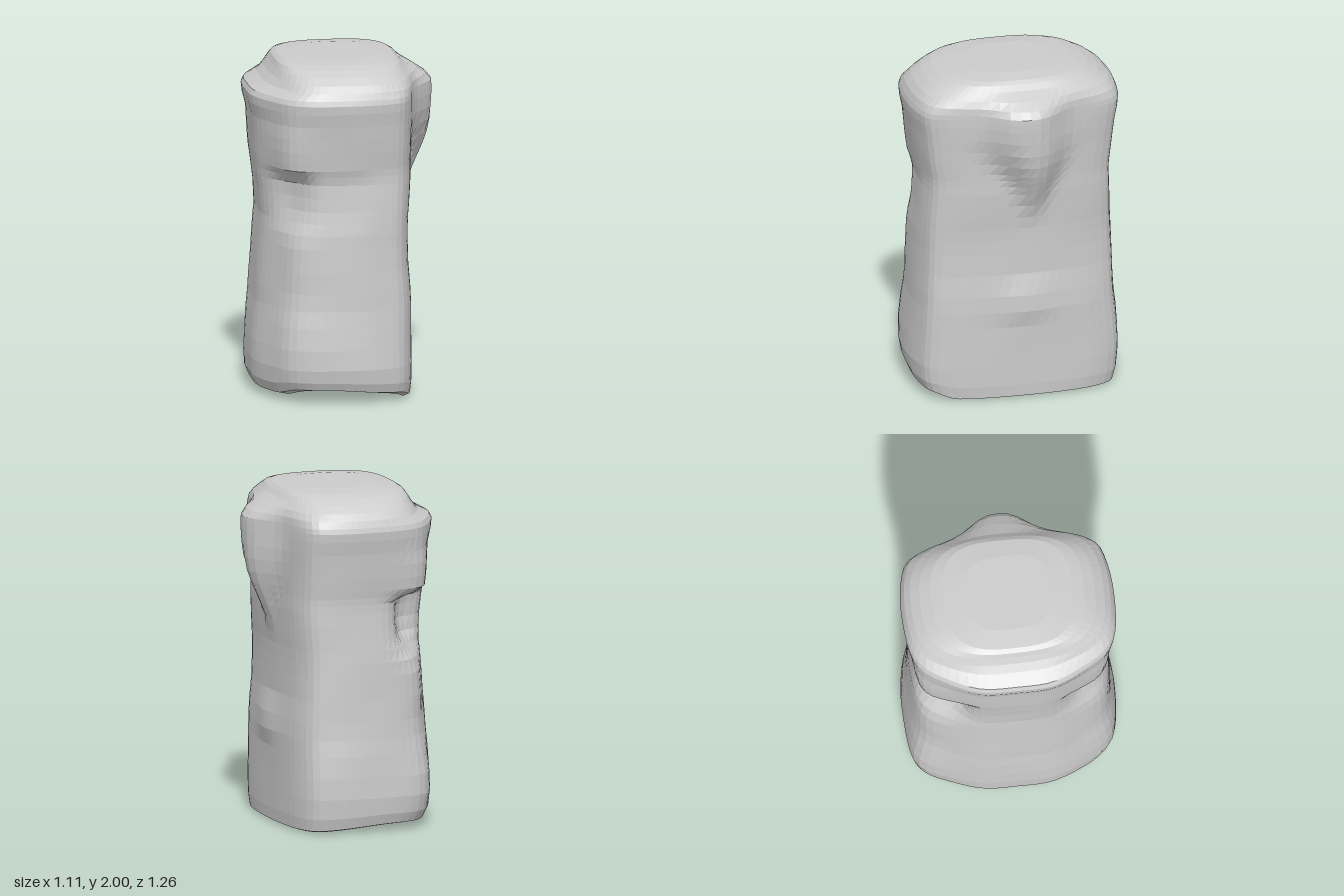
import * as THREE from 'three';

// Half outline of the plan (x, z), from the left side round the front to the right
const HALF = [[-1, 0], [-0.98, 0.34], [-0.83, 0.65], [-0.66, 0.87], [-0.46, 0.96], [0, 1],
  [0.5, 0.965], [0.77, 0.89], [0.91, 0.69], [0.98, 0.38], [1, 0]];

// Levels: y, reach to -x, reach to +x, reach in z
const LEVELS = [
  [0.04, 0, 0, 0], [0.04, 0.25, 0.2, 0.3], [0.03, 0.46, 0.37, 0.56], [0.04, 0.51, 0.4, 0.6],
  [0.1, 0.535, 0.405, 0.62], [0.2, 0.54, 0.405, 0.63], [0.32, 0.535, 0.405, 0.625], [0.45, 0.525, 0.405, 0.615],
  [0.55, 0.515, 0.405, 0.605], [0.65, 0.51, 0.4, 0.6], [0.78, 0.5, 0.39, 0.595], [0.92, 0.49, 0.388, 0.59],
  [1, 0.485, 0.388, 0.588], [1.07, 0.48, 0.39, 0.585], [1.14, 0.485, 0.395, 0.582], [1.22, 0.49, 0.4, 0.578],
  [1.3, 0.5, 0.405, 0.573], [1.35, 0.505, 0.405, 0.572], [1.39, 0.51, 0.405, 0.574], [1.43, 0.515, 0.405, 0.58],
  [1.5, 0.52, 0.405, 0.59], [1.58, 0.525, 0.405, 0.6], [1.66, 0.53, 0.408, 0.61], [1.74, 0.55, 0.41, 0.625],
  [1.79, 0.555, 0.41, 0.63], [1.82, 0.54, 0.41, 0.622], [1.86, 0.46, 0.41, 0.605], [1.9, 0.42, 0.4, 0.57],
  [1.94, 0.395, 0.37, 0.515], [1.97, 0.38, 0.35, 0.45], [1.987, 0.355, 0.325, 0.38], [2, 0.24, 0.22, 0.25],
  [2, 0, 0, 0],
];
const SEGMENTS = 72;

const bell = (v, width) => Math.exp(-((v / width) ** 2));
const step = THREE.MathUtils.smoothstep;

// Surface point with the spout, the small swelling and the hollows under the cap
function surfacePoint(p, [y, left, right, depth]) {
  // The crown changes from the faceted plan to a rounded rectangle
  const crown = step(y, 1.82, 1.94);
  const angle = Math.atan2(p.y, p.x);
  const radius = (Math.abs(Math.cos(angle)) ** 3 + Math.abs(Math.sin(angle)) ** 3) ** (-1 / 3);
  const px = THREE.MathUtils.lerp(p.x, Math.cos(angle) * radius, crown);
  const pz = THREE.MathUtils.lerp(p.y, Math.sin(angle) * radius, crown);
  let x = px * (px < 0 ? left : right);
  let z = pz * depth;
  if (left < 0.35) return [x, y, z];

  if (p.x > 0.5) {
    // Tapered spout high on the right, and a low swelling beneath it
    const width = 0.07 + 0.14 * step(y, 1.2, 1.7);
    const middle = -0.05 + 0.05 * step(y, 1.3, 1.8);
    const reach = 0.145 * step(y, 1.08, 1.6) * (1 - step(y, 1.81, 1.97));
    x += reach * Math.exp(-(Math.abs((z - middle) / width) ** 2.5));
    x += 0.03 * bell(z, 0.16) * bell(y - 0.6, 0.1);
  }
  // Left corners: full at the cap and foot, hollow between them, deeper at the back
  const back = z < 0;
  const lip = back ? 1.42 : 1.39;
  const hollow = step(y, 0.95, 1.2) * (1 - step(y, lip - 0.08, lip));
  const full = step(y, lip - 0.08, lip) * (1 - step(y, 1.5, 1.8)) + bell(y - 0.3, 0.25) + 0.6 * bell(y - 0.85, 0.15);
  const corner = bell(x + 0.36, 0.14) * bell(Math.abs(z) - 0.48, 0.17);
  const push = corner * (full * (back ? 0.035 : 0.02) - hollow * (back ? 0.12 : 0.055));
  x -= push * 0.6;
  z += Math.sign(z) * push;
  // Shallow recess below the front lip
  if (!back) z -= 0.02 * hollow * step(p.y, 0.85, 0.97) * bell(x + 0.05, 0.18);
  // Gentle waviness and an uneven foot, lifted along the front edge
  const ripple = 1 + 0.005 * Math.sin(y * 9 + x * 7) * Math.cos(z * 8 + y * 4);
  const low = Math.max(0, 1 - y / 0.2);
  const foot = low * (0.05 * step(z, 0.4, 0.56) - 0.04 * step(x, -0.2, 0.35));
  return [x * ripple, y + foot, z * ripple];
}

function bodyGeometry() {
  const mirrored = HALF.slice(1, -1).reverse().map(([x, z]) => [x, -z]);
  const outline = new THREE.CatmullRomCurve3(
    [...HALF, ...mirrored].map(([x, z]) => new THREE.Vector3(x, z, 0)), true);
  const ring = outline.getSpacedPoints(SEGMENTS).slice(0, SEGMENTS);

  // Rings joined level by level; the first and last close to a point
  const positions = [], index = [];
  LEVELS.forEach((level, i) => {
    ring.forEach((p, j) => {
      positions.push(...surfacePoint(p, level));
      if (i === LEVELS.length - 1) return;
      const a = i * SEGMENTS + j, b = i * SEGMENTS + (j + 1) % SEGMENTS;
      if (i > 0) index.push(a, b, b + SEGMENTS);
      if (i < LEVELS.length - 2) index.push(a, b + SEGMENTS, a + SEGMENTS);
    });
  });
  const geometry = new THREE.BufferGeometry();
  geometry.setAttribute('position', new THREE.Float32BufferAttribute(positions, 3));
  geometry.setIndex(index);
  geometry.computeVertexNormals();
  return geometry;
}

export function createModel() {
  const group = new THREE.Group();
  group.name = 'cappedStone';
  const body = new THREE.Mesh(bodyGeometry(),
    new THREE.MeshStandardMaterial({ color: 0xcccccc, flatShading: true }));
  body.name = 'bodyWithCapAndSpout';
  group.add(body);
  return group;
}
